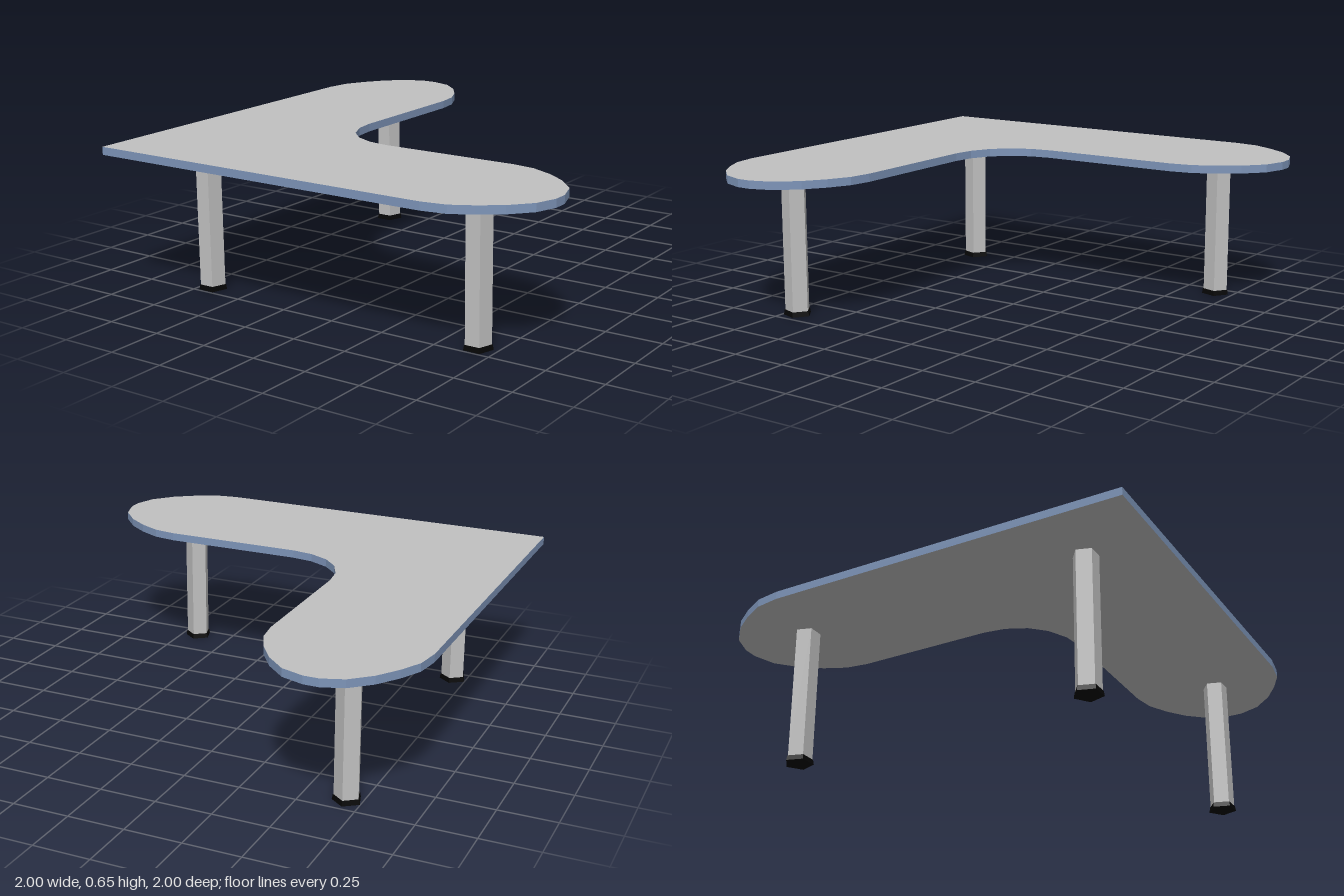
import * as THREE from 'three';

const silver = new THREE.MeshStandardMaterial({ name: 'silver grey', color: 0xc0c0c0 });
const blue = new THREE.MeshStandardMaterial({ name: 'steel blue', color: 0x7d94b8 });
const black = new THREE.MeshStandardMaterial({ name: 'black', color: 0x050505 });

const UNDERSIDE = 0.62, THICKNESS = 0.035, FOOT = 0.022;

// L-shaped worktop with rounded ends: one arm is drawn, the other mirrors it about the diagonal
function createWorktop() {
  const arm = [
    [0.6, -1], [0.708, -0.983], [0.8, -0.935], [0.89, -0.872], [0.967, -0.787],
    [1, -0.695], [1, -0.63], [0.968, -0.532], [0.89, -0.445], [0.8, -0.382],
    [0.705, -0.337], [0.605, -0.322], [-0.015, -0.322], [-0.11, -0.308], [-0.2, -0.265],
  ];
  const mirrored = arm.map(([x, y]) => [y, x]).reverse();
  const outline = [[-1, -1], ...arm, ...mirrored].map(([x, y]) => new THREE.Vector2(x, y));
  const geometry = new THREE.ExtrudeGeometry(new THREE.Shape(outline), {
    depth: THICKNESS, bevelEnabled: false,
  });
  geometry.rotateX(-Math.PI / 2);
  const worktop = new THREE.Mesh(geometry, [silver, blue]); // faces, edge band
  worktop.name = 'worktop';
  worktop.position.y = UNDERSIDE;
  return worktop;
}

// Five-sided post, flat side to the front
function pentagon(name, topRadius, bottomRadius, bottom, top, material) {
  const geometry = new THREE.CylinderGeometry(topRadius, bottomRadius, top - bottom, 5).toNonIndexed();
  geometry.computeVertexNormals();
  const mesh = new THREE.Mesh(geometry, material);
  mesh.name = name;
  mesh.rotation.y = Math.PI;
  mesh.position.y = (bottom + top) / 2;
  return mesh;
}

function createLeg(name, x, z) {
  const leg = new THREE.Group();
  leg.name = name;
  leg.position.set(x, 0, z);
  leg.add(
    pentagon('post', 0.056, 0.056, FOOT, UNDERSIDE, silver),
    pentagon('foot', 0.059, 0.063, 0, FOOT, black),
  );
  return leg;
}

export function createModel() {
  const desk = new THREE.Group();
  desk.name = 'cornerDesk';
  desk.add(
    createWorktop(),
    createLeg('cornerLeg', -0.688, 0.69),
    createLeg('leftLeg', 0.667, 0.69),
    createLeg('backLeg', -0.688, -0.667),
  );
  return desk;
}
